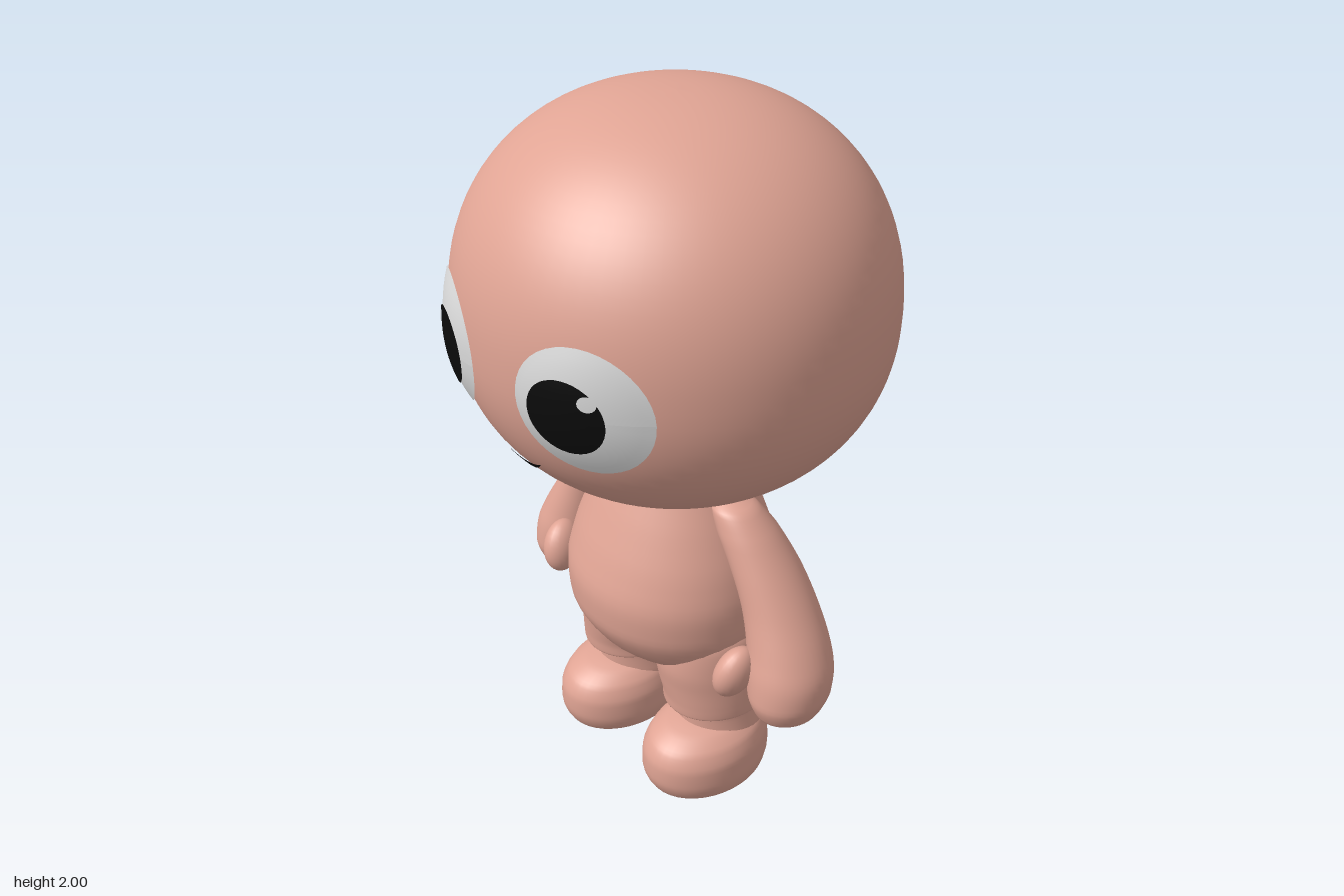
import * as THREE from 'three';
import { mergeVertices } from 'three/addons/utils/BufferGeometryUtils.js';

const skin = new THREE.MeshStandardMaterial({ color: 0xe0a494 });
skin.name = 'skin';
const eyeWhite = new THREE.MeshStandardMaterial({ color: 0xdadada });
eyeWhite.name = 'eyeWhite';
const black = new THREE.MeshStandardMaterial({ color: 0x0b0b0b });
black.name = 'black';

// Head outline: a slightly squared ellipse, taller above its widest line
const HEAD = { y: 1.46, r: 0.57, up: 0.54, down: 0.495, n: 2.2 };
const headRadius = (y) => {
  const d = Math.abs(y - HEAD.y) / (y > HEAD.y ? HEAD.up : HEAD.down);
  return HEAD.r * Math.pow(Math.max(0, 1 - Math.pow(d, HEAD.n)), 1 / HEAD.n);
};

function add(parent, name, geometry, material) {
  const mesh = new THREE.Mesh(geometry, material);
  mesh.name = name;
  parent.add(mesh);
  return mesh;
}

// Smooth body through elliptical slices, bottom to top: [y, cx, cz, rx, rz]
function loft(rows, side = 1, steps = 40, segments = 40) {
  const centres = new THREE.CatmullRomCurve3(rows.map(([y, cx, cz]) => new THREE.Vector3(cx * side, y, cz)));
  const radii = new THREE.CatmullRomCurve3(rows.map((r) => new THREE.Vector3(r[3], 0, r[4])));
  const profile = [];
  for (let i = 0; i <= steps; i++) profile.push(new THREE.Vector2(1, i / steps));
  let g = new THREE.LatheGeometry(profile, segments);
  const p = g.attributes.position;
  for (let i = 0; i < p.count; i++) {
    const t = Math.min(1, Math.max(0, p.getY(i)));
    const c = centres.getPoint(t);
    const r = radii.getPoint(t);
    p.setXYZ(i, c.x + p.getX(i) * Math.max(0, r.x), c.y, c.z + p.getZ(i) * Math.max(0, r.z));
  }
  g.deleteAttribute('uv');
  g.deleteAttribute('normal');
  g = mergeVertices(g, 1e-5);
  g.computeVertexNormals();
  return g;
}

// Lays a flat geometry (x, y) onto the front of the head
function ontoHead(g, lift) {
  const p = g.attributes.position;
  for (let i = 0; i < p.count; i++) {
    const x = p.getX(i), y = p.getY(i);
    const r = headRadius(y);
    p.setZ(i, Math.sqrt(Math.max(0, r * r - x * x)) * 0.993 + lift(x, y));
  }
  g.computeVertexNormals();
  return g;
}

function eyeDisc(cx, cy, rx, ry, side, layer) {
  const g = new THREE.RingGeometry(0.001, 1, 40, 8);
  g.scale(rx, ry, 1);
  g.translate(cx * side, cy, 0);
  // gentle bulge across the whole eye, shared by every layer
  return ontoHead(g, (x, y) => {
    const d = ((x * side - 0.242) / 0.158) ** 2 + ((y - 1.432) / 0.168) ** 2;
    return 0.005 + layer * 0.004 + 0.016 * Math.max(0, 1 - d);
  });
}

function buildHead() {
  const head = new THREE.Group();
  head.name = 'head';
  const profile = [];
  for (let i = 0; i <= 48; i++) {
    const a = (i / 48) * Math.PI;
    const c = -Math.cos(a);
    const e = 2 / HEAD.n;
    const y = HEAD.y + Math.sign(c) * Math.pow(Math.abs(c), e) * (c > 0 ? HEAD.up : HEAD.down);
    profile.push(new THREE.Vector2(HEAD.r * Math.pow(Math.abs(Math.sin(a)), e), y));
  }
  const skull = new THREE.LatheGeometry(profile, 72);
  skull.scale(1, 1, 0.993);
  add(head, 'skull', skull, skin);

  for (const side of [-1, 1]) {
    const eye = new THREE.Group();
    eye.name = side > 0 ? 'leftEye' : 'rightEye';
    add(eye, 'eyeball', eyeDisc(0.242, 1.432, 0.158, 0.168, side, 0), eyeWhite);
    add(eye, 'pupil', eyeDisc(0.225, 1.425, 0.094, 0.098, side, 1), black);
    add(eye, 'glint', eyeDisc(0.286, 1.48, 0.02, 0.02, side, 2), eyeWhite);
    head.add(eye);
  }

  // Smile: a thin crescent
  const smile = new THREE.PlaneGeometry(2, 1, 24, 2);
  const p = smile.attributes.position;
  for (let i = 0; i < p.count; i++) {
    const u = p.getX(i);
    p.setXY(i, u * 0.085, 1.177 + 0.036 * u * u + p.getY(i) * 0.022 * (1.05 - u * u));
  }
  add(head, 'mouth', ontoHead(smile, () => 0.006), black);
  return head;
}

export function createModel() {
  const model = new THREE.Group();
  model.name = 'bigHeadedFigure';
  model.add(buildHead());

  // Pear-shaped torso running up into the head
  add(model, 'torso', loft([
    [0.335, 0, 0, 0, 0], [0.345, 0, 0, 0.1, 0.09], [0.39, 0, 0, 0.21, 0.17],
    [0.46, 0, 0.008, 0.275, 0.235], [0.55, 0, 0.01, 0.305, 0.28], [0.64, 0, 0.01, 0.31, 0.285],
    [0.75, 0, 0.005, 0.292, 0.26], [0.87, 0, 0, 0.25, 0.215], [0.98, 0, 0, 0.205, 0.165],
    [1.04, 0, 0, 0.19, 0.15],
  ]), skin);

  for (const side of [-1, 1]) {
    const label = side > 0 ? 'left' : 'right';

    // Short trouser leg with a flat hem
    add(model, label + 'TrouserLeg', loft([
      [0.278, 0.178, 0, 0, 0], [0.27, 0.178, 0, 0.12, 0.14], [0.275, 0.178, 0, 0.142, 0.162],
      [0.31, 0.178, 0, 0.143, 0.165], [0.36, 0.17, 0, 0.15, 0.172], [0.43, 0.165, 0, 0.152, 0.18],
      [0.52, 0.16, 0, 0.148, 0.17], [0.6, 0.14, 0, 0.12, 0.12],
    ], side), skin);

    // Lower leg
    add(model, label + 'Leg', loft([
      [0.08, 0.18, -0.012, 0.126, 0.134], [0.2, 0.178, -0.012, 0.122, 0.134],
      [0.32, 0.176, -0.01, 0.122, 0.134],
    ], side, 8), skin);

    // Rounded foot, flat underneath
    add(model, label + 'Foot', loft([
      [0.003, 0.187, 0.04, 0, 0], [0.005, 0.187, 0.04, 0.11, 0.15], [0.025, 0.188, 0.046, 0.144, 0.188],
      [0.075, 0.188, 0.05, 0.153, 0.203], [0.13, 0.188, 0.05, 0.15, 0.201],
      [0.175, 0.187, 0.042, 0.132, 0.186], [0.205, 0.184, 0.025, 0.1, 0.15],
      [0.218, 0.182, 0.01, 0.06, 0.1], [0.22, 0.18, 0, 0, 0],
    ], side), skin);

    // Sloping arm that swells into a mitten hand
    const arm = new THREE.Group();
    arm.name = label + 'Arm';
    add(arm, 'armAndHand', loft([
      [0.372, 0.462, 0.015, 0, 0], [0.378, 0.463, 0.015, 0.045, 0.055], [0.405, 0.467, 0.01, 0.083, 0.095],
      [0.46, 0.466, 0.004, 0.104, 0.12], [0.53, 0.456, -0.005, 0.112, 0.122],
      [0.6, 0.434, -0.015, 0.107, 0.115], [0.69, 0.392, -0.022, 0.098, 0.105],
      [0.79, 0.335, -0.02, 0.09, 0.096], [0.88, 0.275, -0.01, 0.083, 0.083],
      [0.945, 0.232, 0.002, 0.062, 0.06], [0.972, 0.212, 0.005, 0, 0],
    ], side, 50), skin);
    const thumb = add(arm, 'thumb', new THREE.SphereGeometry(1, 24, 16), skin);
    thumb.scale.set(0.047, 0.08, 0.062);
    thumb.position.set(0.372 * side, 0.525, 0.118);
    thumb.rotation.set(-0.35, 0, -0.2 * side);
    model.add(arm);
  }
  return model;
}
